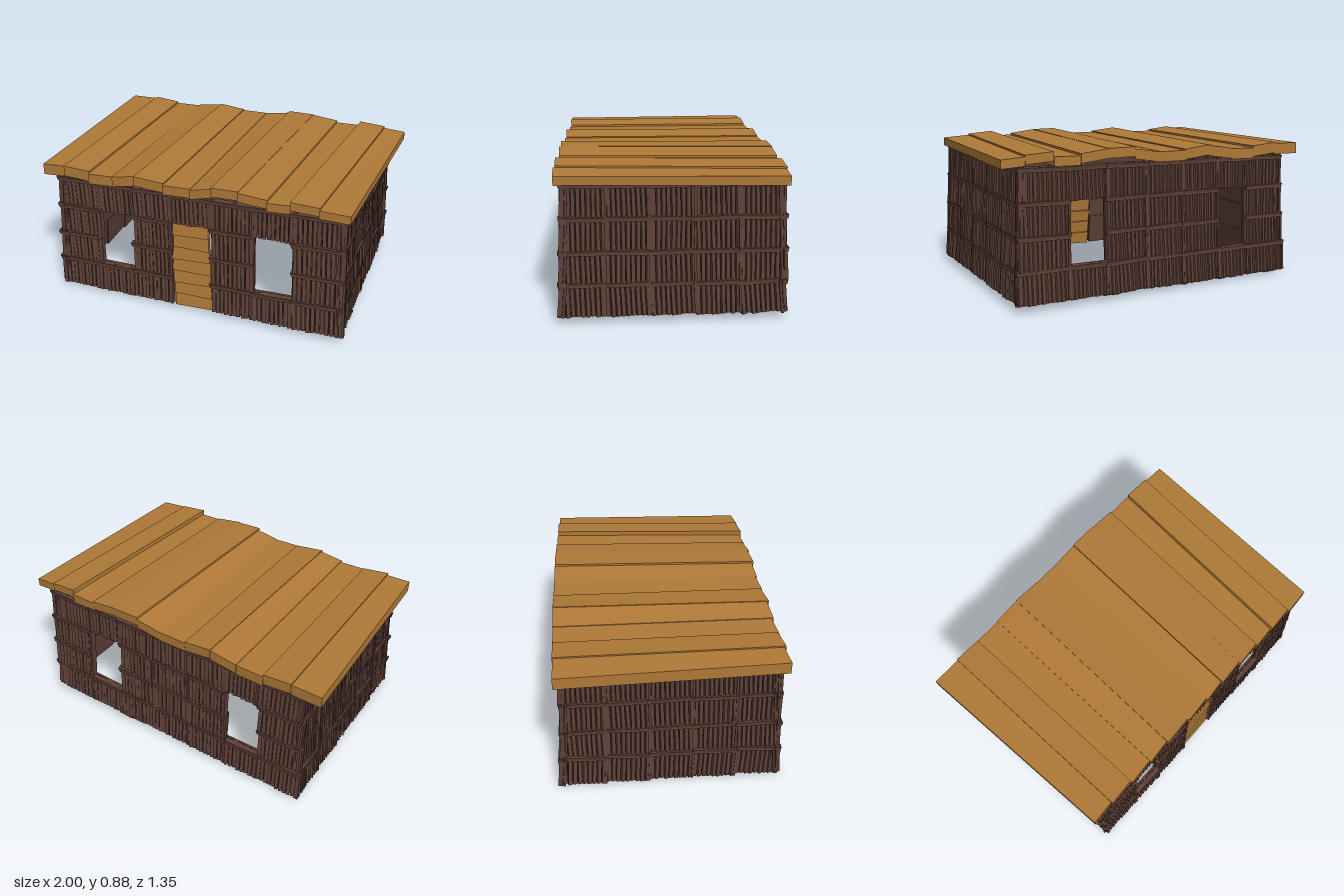
import * as THREE from 'three';
import { mergeGeometries } from 'three/addons/utils/BufferGeometryUtils.js';

const bark = new THREE.MeshStandardMaterial({ color: 0x5d4037, flatShading: true });
const timber = new THREE.MeshStandardMaterial({ color: 0xb07a38, flatShading: true });

let seed = 7;
const jitter = (amount) => {
  seed = (seed * 16807) % 2147483647;
  return (seed / 2147483647 - 0.5) * 2 * amount;
};

function box(w, h, d, x, y, z, rx = 0, ry = 0, rz = 0) {
  const g = new THREE.BoxGeometry(w, h, d);
  g.rotateX(rx).rotateY(ry).rotateZ(rz);
  return g.translate(x, y, z);
}

// One wall tile: flat backing, upright slats outside and a batten along the top.
// Origin at the tile centre, outside face near z = 0, facing +z.
function tile(w, h) {
  const parts = [box(w + 0.008, h + 0.012, 0.014, 0, 0, -0.018)];
  const n = Math.max(8, Math.round(w / 0.027));
  const step = w / n;
  for (let i = 0; i < n; i++) {
    const x = -w / 2 + (i + 0.5) * step;
    parts.push(box(step * 0.8, h + 0.008, 0.022, x, jitter(0.004), jitter(0.003),
      0, 0.3 + jitter(0.15), 0.012 + jitter(0.012)));
  }
  // batten made of two thin rails
  parts.push(box(w + 0.016, 0.016, 0.03, 0, h / 2 - 0.002, 0.008, 0.25, 0, jitter(0.015)));
  parts.push(box(w + 0.008, 0.014, 0.022, 0, h / 2 - 0.017, 0.009, 0, 0, jitter(0.015)));
  // slim post on the seam
  parts.push(box(0.014, h, 0.026, w / 2, 0, 0.004));
  return mergeGeometries(parts);
}

const rows = [0.03, 0.218, 0.402, 0.592, 0.778];
const flare = [0.03, 0.018, 0.01, 0.004, 0];

// Wall facing +z in its own frame. edges: seam positions, slope: rise along x,
// sag: extra tilt of the bottom tiles, isOpen(col, row) leaves tiles out.
function wall(name, edges, slope, sag, isOpen) {
  const tiles = [];
  for (let c = 0; c < edges.length - 1; c++) {
    for (let r = 0; r < 4; r++) {
      if (isOpen(c, r)) continue;
      const spread = 1 + 0.01 * (3 - r);
      const w = (edges[c + 1] - edges[c]) * spread;
      const h = rows[r + 1] - rows[r];
      const x = (edges[c] + edges[c + 1]) / 2 * spread;
      const g = tile(w, h);
      g.rotateX(-Math.atan2(flare[r] - flare[r + 1] + 0.006, h));
      g.rotateY(jitter(0.025));
      g.rotateZ(slope + jitter(0.025) + (r === 0 ? sag : 0));
      g.translate(x, (rows[r] + rows[r + 1]) / 2 + slope * x,
        (flare[r] + flare[r + 1]) / 2 + jitter(0.003));
      tiles.push(g);
    }
  }
  const mesh = new THREE.Mesh(mergeGeometries(tiles), bark);
  mesh.name = name;
  return mesh;
}

// Roof plank seams at the front and back ends, and top heights at both long edges
const frontX = [-1, -0.855, -0.69, -0.53, -0.385, -0.2, -0.03, 0.1, 0.26, 0.43, 0.565, 0.73, 0.9];
const backX = [-1, -0.82, -0.65, -0.48, -0.31, -0.14, 0.03, 0.2, 0.37, 0.54, 0.7, 0.865, 1];
const tops = [[0.838, 0.842], [0.85, 0.836], [0.824, 0.828], [0.832, 0.858], [0.862, 0.845], [0.838, 0.84],
  [0.838, 0.866], [0.878, 0.878], [0.876, 0.858], [0.846, 0.85], [0.878, 0.868], [0.858, 0.85]];

function plank(i) {
  const g = new THREE.BoxGeometry(1, 1, 1);
  const p = g.attributes.position;
  const t = i / 11;
  const thickness = 0.068 - 0.018 * t;
  for (let k = 0; k < p.count; k++) {
    const side = p.getX(k) > 0 ? 1 : 0;
    const isFront = p.getZ(k) > 0;
    const isTop = p.getY(k) > 0;
    const x = (isFront ? frontX : backX)[i + side];
    const y = tops[i][side] - (isTop ? 0 : thickness);
    // ends lean round gradually towards +x
    const z = isFront ? 0.608 + 0.058 * t - side * 0.006 : -0.66 + 0.06 * t * t + side * 0.005;
    p.setXYZ(k, x, y, z);
  }
  g.computeVertexNormals();
  const mesh = new THREE.Mesh(g, timber);
  mesh.name = 'roofPlank';
  return mesh;
}

export function createModel() {
  const model = new THREE.Group();
  model.name = 'hut';

  // Walls, standing slightly askew under the roof
  const walls = new THREE.Group();
  walls.name = 'walls';
  walls.rotation.y = -0.022;
  model.add(walls);

  const long = [-0.9, -0.622, -0.405, -0.15, 0.1, 0.358, 0.59, 0.89];
  const short = [-0.61, -0.366, -0.122, 0.122, 0.366, 0.61];
  const isWindow = (c, r) => (c === 1 || c === 5) && (r === 1 || r === 2);

  const front = wall('frontWall', long, 0.019, 0.01, (c, r) => isWindow(c, r) || (c === 3 && r < 3));
  front.position.z = 0.597;
  const back = wall('backWall', long.map((x) => -x).reverse(), -0.019, 0.02, isWindow);
  back.rotation.y = Math.PI;
  back.position.z = -0.605;
  const left = wall('leftWall', short, 0, 0.04, () => false);
  left.rotation.y = Math.PI / 2;
  left.position.set(0.873, 0.017, 0);
  const right = wall('rightWall', short, 0, -0.06, () => false);
  right.rotation.y = -Math.PI / 2;
  right.position.set(-0.885, -0.012, 0);
  walls.add(front, back, left, right);

  // Door of overlapping cross boards
  const door = new THREE.Group();
  door.name = 'door';
  for (let i = 0; i < 7; i++) {
    const y = 0.062 + i * 0.0815;
    const x = -0.014 - i * 0.0045;
    const board = new THREE.Mesh(
      box(0.245, 0.082, 0.022, x, y, 0.612 - i * 0.002, -0.16, jitter(0.03), 0.03 + jitter(0.035)), timber);
    board.name = 'doorBoard';
    door.add(board);
  }
  walls.add(door);

  // Roof
  const roof = new THREE.Group();
  roof.name = 'roof';
  for (let i = 0; i < 12; i++) roof.add(plank(i));
  model.add(roof);

  return model;
}
